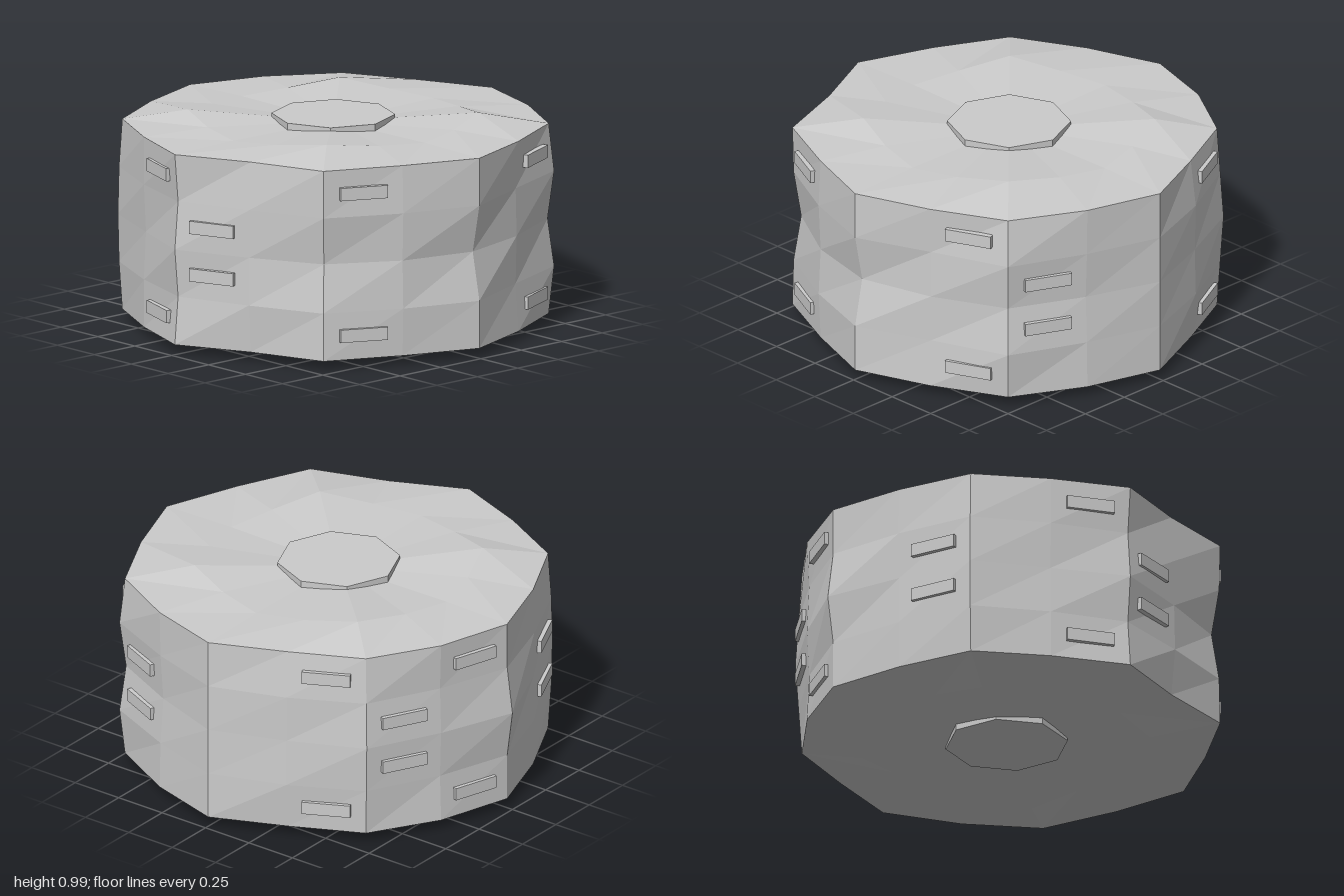
import * as THREE from 'three';

const H = 0.987; // overall height; the lower half mirrors the upper half
const ROW_Y = [0.047, 0.27, 0.4935, 0.717, 0.94];

// Wall radii per column (16 around, from +z towards +x): at the rim, quarter height, mid height
const WALL = [
  [0.99, 0.99, 0.945], [0.935, 0.92, 0.925], [0.985, 1.01, 0.98], [0.945, 0.94, 0.925],
  [0.98, 0.98, 0.98], [0.90, 0.925, 0.92], [0.95, 0.965, 0.98], [0.935, 0.925, 0.935],
  [0.97, 0.97, 1.0], [0.92, 0.925, 0.92], [0.965, 0.98, 0.985], [0.92, 0.92, 0.91],
  [0.98, 0.96, 0.98], [0.89, 0.91, 0.905], [0.99, 0.985, 0.95], [0.93, 0.94, 0.93],
];
const N = WALL.length;
const angle = (j) => (j / N) * Math.PI * 2;

// Wall point at a column and height
function wallPoint(j, y) {
  const w = WALL[j % N], rows = [w[0], w[1], w[2], w[1], w[0]];
  let i = 0;
  while (i < 3 && y > ROW_Y[i + 1]) i++;
  const t = (y - ROW_Y[i]) / (ROW_Y[i + 1] - ROW_Y[i]);
  const r = rows[i] + (rows[i + 1] - rows[i]) * t;
  return new THREE.Vector3(r * Math.sin(angle(j)), y, r * Math.cos(angle(j)));
}

// Ring of the dented end face: raised on the diagonals, low on the axes
function endPoint(j, top) {
  const step = j % 4;
  const r = [0.62, 0.61, 0.665, 0.61][step];
  const y = [0.947, 0.96, H, 0.96][step];
  return new THREE.Vector3(r * Math.sin(angle(j)), top ? y : H - y, r * Math.cos(angle(j)));
}

// Closed drum from cross-section loops, bottom centre to top centre
function drumGeometry() {
  const loops = [
    () => new THREE.Vector3(0, 0.047, 0),
    (j) => endPoint(j, false),
    ...ROW_Y.map((y) => (j) => wallPoint(j, y)),
    (j) => endPoint(j, true),
    () => new THREE.Vector3(0, 0.94, 0),
  ];
  const pos = [];
  const tri = (...pts) => pts.forEach((p) => pos.push(p.x, p.y, p.z));
  for (let i = 0; i < loops.length - 1; i++) {
    for (let j = 0; j < N; j++) {
      const a = loops[i](j), b = loops[i](j + 1), c = loops[i + 1](j + 1), d = loops[i + 1](j);
      if (i > 0) tri(a, b, c);
      if (i < loops.length - 2) tri(a, c, d);
    }
  }
  const g = new THREE.BufferGeometry();
  g.setAttribute('position', new THREE.Float32BufferAttribute(pos, 3));
  g.computeVertexNormals();
  return g;
}

export function createModel() {
  const group = new THREE.Group();
  const mat = new THREE.MeshStandardMaterial({ color: 0xcccccc, flatShading: true });
  const add = (name, geo) => {
    const m = new THREE.Mesh(geo, mat);
    m.name = name;
    group.add(m);
    return m;
  };

  add('drumBody', drumGeometry());

  // Octagonal caps on both ends
  const capGeo = new THREE.CylinderGeometry(0.283, 0.283, 0.06, 8);
  add('topCap', capGeo).position.y = 0.945;
  add('bottomCap', capGeo).position.y = 0.045;

  // Small wall plates in pairs: near the rims (outer) or near the middle (inner)
  const plateGeo = new THREE.BoxGeometry(0.225, 0.06, 0.06);
  const addPair = (j, ys, name) => {
    for (const y of ys) {
      const a = wallPoint(j, y), b = wallPoint(j + 1, y);
      const out = new THREE.Vector3(a.z - b.z, 0, b.x - a.x).normalize();
      const plate = add(name, plateGeo);
      plate.position.copy(a).add(b).multiplyScalar(0.5).addScaledVector(out, -0.011);
      plate.rotation.y = Math.atan2(out.x, out.z);
    }
  };
  [1, 5, 7, 11, 14].forEach((j) => addPair(j, [0.162, 0.828], 'outerPlate'));
  [2, 6, 9, 12].forEach((j) => addPair(j, [0.385, 0.608], 'innerPlate'));

  return group;
}
